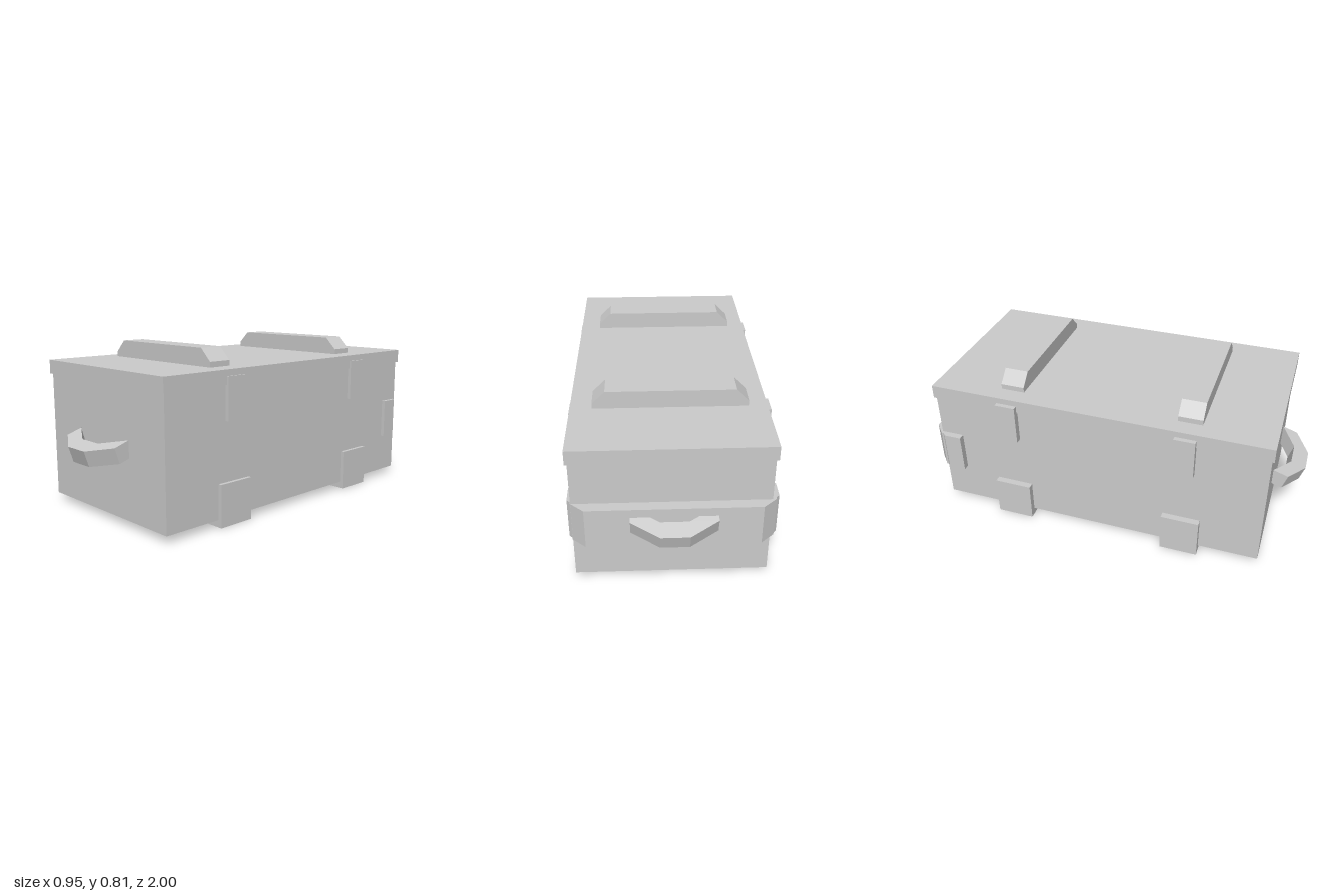
import * as THREE from 'three';

const material = new THREE.MeshStandardMaterial({ color: 0xcccccc, flatShading: true });

export function createModel() {
  const model = new THREE.Group();

  function add(name, geometry, parent = model) {
    const mesh = new THREE.Mesh(geometry, material);
    mesh.name = name;
    parent.add(mesh);
    return mesh;
  }

  // Box given by its extents on each axis
  function box(name, [x0, x1], [y0, y1], [z0, z1]) {
    const mesh = add(name, new THREE.BoxGeometry(x1 - x0, y1 - y0, z1 - z0));
    mesh.position.set((x0 + x1) / 2, (y0 + y1) / 2, (z0 + z1) / 2);
  }

  // Prism from an outline that is symmetric about x = 0; only the +x half is listed
  function prism(half, depth) {
    const mirrored = half.map(([x, y]) => [-x, y]).reverse();
    const points = [...half, ...mirrored].map(([x, y]) => new THREE.Vector2(x, y));
    return new THREE.ExtrudeGeometry(new THREE.Shape(points), { depth, bevelEnabled: false });
  }

  // Crate and overhanging lid
  box('body', [-0.44, 0.455], [0.036, 0.66], [-0.848, 0.85]);
  box('lid', [-0.45, 0.465], [0.655, 0.724], [-0.858, 0.86]);

  for (const end of [1, -1]) {
    // Chamfered batten on the lid
    const batten = prism([[0.363, 0.72], [0.363, 0.75], [0.302, 0.81]], 0.12);
    add('lidBatten', batten).position.z = end * 0.452 - 0.06;

    // Skid running under the crate and up both sides
    box('skid', [-0.473, 0.473], [0, 0.205], [end * 0.452 - 0.096, end * 0.452 + 0.096]);

    // Latch plates on both sides
    for (const side of [1, -1]) {
      const x = [side * 0.43, side * 0.473].sort((a, b) => a - b);
      box('latch', x, [0.49, 0.694], [end * 0.451 - 0.052, end * 0.451 + 0.052]);
    }

    // Bent carrying handle, tilted down and outwards
    const holder = new THREE.Group();
    holder.name = end > 0 ? 'frontHandle' : 'backHandle';
    holder.rotation.y = end > 0 ? 0 : Math.PI;
    model.add(holder);
    const grip = prism([[0.065, -0.079], [0.195, -0.158], [0.195, -0.079], [0.065, 0]], 0.079);
    const handle = add('handleGrip', grip, holder);
    handle.position.set(0, 0.365, 1);
    handle.rotation.x = Math.PI / 2 + 0.315;
  }

  // Reinforcing band wrapped around the back corners
  const band = prism(
    [[0.473, 0.73], [0.473, 0.82], [0.458, 0.835], [0.458, 0.845], [0.395, 0.9]], 0.204);
  band.rotateX(-Math.PI / 2);
  add('backBand', band).position.y = 0.236;

  return model;
}
